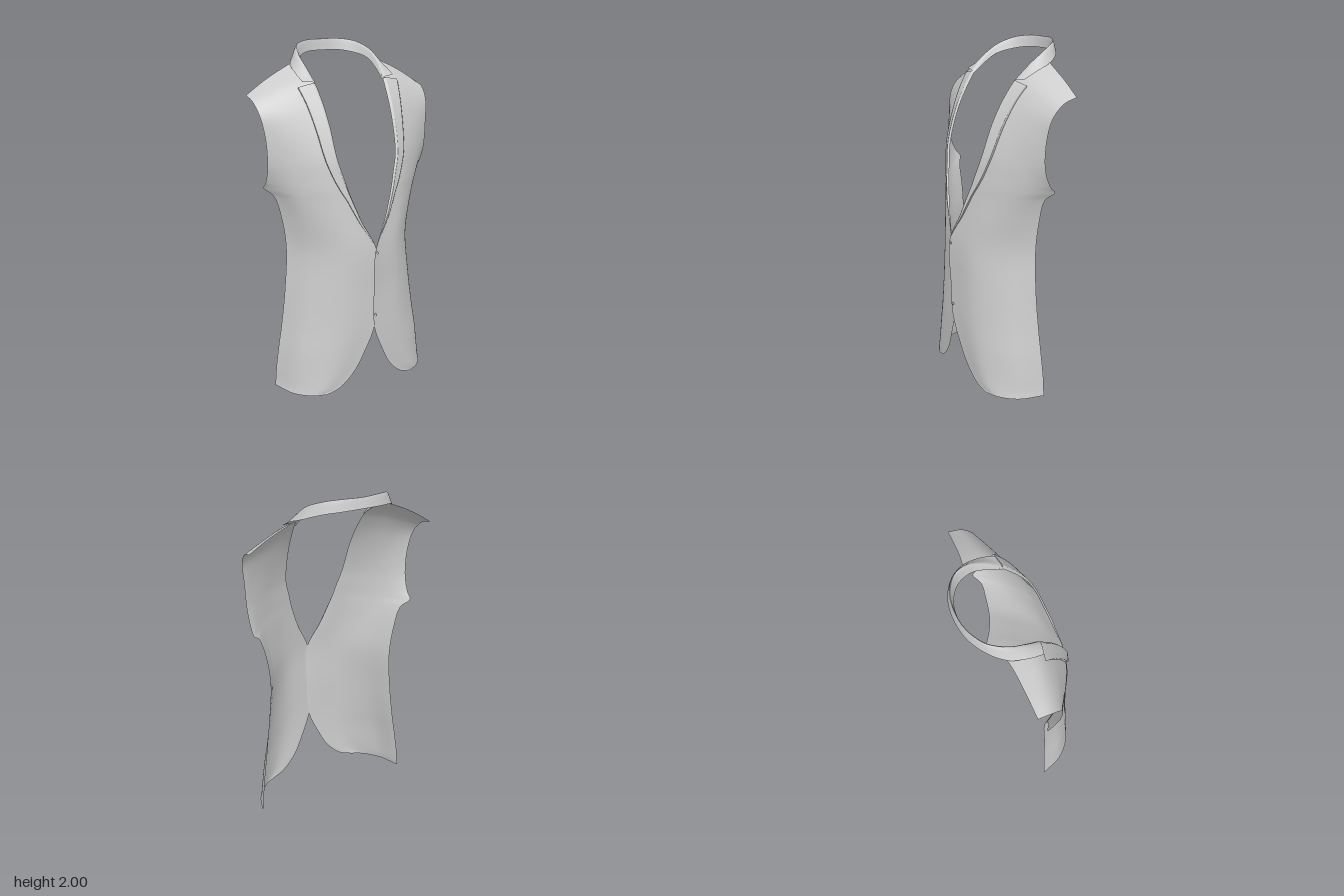
import * as THREE from 'three';

const cloth = new THREE.MeshStandardMaterial({ color: 0xcccccc, side: THREE.DoubleSide });
const curve = (pts) => new THREE.CatmullRomCurve3(pts.map((p) => new THREE.Vector3(...p)));

// Smooth surface through a set of lengthwise curves: u runs across them, v along them
const loft = (curves) => (u, v) =>
  new THREE.CatmullRomCurve3(curves.map((c) => c.getPoint(v))).getPoint(u);

// Grid mesh of a surface function; side = -1 mirrors it in x
function sheet(name, surface, nu, nv, side = 1) {
  const pos = [], index = [];
  for (let j = 0; j <= nv; j++) {
    for (let i = 0; i <= nu; i++) {
      const p = surface(i / nu, j / nv);
      pos.push(p.x * side, p.y, p.z);
      if (i === nu || j === nv) continue;
      const a = j * (nu + 1) + i, b = a + 1, c = a + nu + 1, d = c + 1;
      if (side > 0) index.push(a, b, d, a, d, c);
      else index.push(a, d, b, a, c, d);
    }
  }
  const geo = new THREE.BufferGeometry();
  geo.setAttribute('position', new THREE.Float32BufferAttribute(pos, 3));
  geo.setIndex(index);
  geo.computeVertexNormals();
  const mesh = new THREE.Mesh(geo, cloth);
  mesh.name = name;
  return mesh;
}

// Lengthwise lines of one front panel, each from hem (row 0) to shoulder seam (row 15)
const ROWS = 15;
const frontEdge = curve([
  [0.29, 0.008, 0.258], [0.215, 0.035, 0.27], [0.125, 0.12, 0.283], [0.055, 0.25, 0.296],
  [-0.003, 0.4, 0.306], [-0.013, 0.62, 0.311], [-0.008, 0.87, 0.317], [0.075, 1.05, 0.283],
  [0.12, 1.17, 0.26], [0.14, 1.23, 0.247], [0.156, 1.29, 0.235], [0.186, 1.4, 0.21],
  [0.2, 1.58, 0.15], [0.21, 1.72, 0.075], [0.222, 1.82, -0.005], [0.255, 1.895, -0.17],
]);
const chestLine = curve([
  [0.365, 0.003, 0.222], [0.325, 0.035, 0.243], [0.28, 0.12, 0.257], [0.24, 0.25, 0.266],
  [0.205, 0.4, 0.271], [0.19, 0.62, 0.266], [0.18, 0.87, 0.26], [0.22, 1.05, 0.232],
  [0.25, 1.17, 0.21], [0.268, 1.23, 0.199], [0.28, 1.29, 0.188], [0.3, 1.4, 0.165],
  [0.315, 1.57, 0.113], [0.325, 1.7, 0.055], [0.335, 1.795, -0.02], [0.34, 1.86, -0.155],
]);
const flankLine = curve([
  [0.448, 0, 0.132], [0.436, 0.035, 0.138], [0.42, 0.12, 0.145], [0.397, 0.25, 0.152],
  [0.37, 0.4, 0.15], [0.336, 0.62, 0.15], [0.315, 0.87, 0.142], [0.345, 1.05, 0.13],
  [0.38, 1.17, 0.115], [0.398, 1.22, 0.107], [0.408, 1.275, 0.104], [0.42, 1.38, 0.098],
  [0.435, 1.54, 0.072], [0.447, 1.665, 0.028], [0.452, 1.752, -0.04], [0.45, 1.805, -0.145],
]);
const sideEdge = curve([
  [0.5, 0.005, -0.01], [0.495, 0.04, -0.01], [0.488, 0.12, -0.01], [0.472, 0.25, -0.005],
  [0.45, 0.4, 0], [0.425, 0.62, 0.005], [0.408, 0.87, 0], [0.43, 1.05, -0.005],
  [0.47, 1.18, -0.012], [0.517, 1.228, -0.042], [0.518, 1.265, -0.012], [0.52, 1.36, 0.024],
  [0.528, 1.52, 0.026], [0.545, 1.64, 0], [0.557, 1.71, -0.06], [0.56, 1.737, -0.137],
]);
const panel = loft([frontEdge, chestLine, flankLine, sideEdge]);

// Point raised off the panel along its normal
function raised(u, v, h) {
  const e = 0.004, p = panel(u, v);
  const du = panel(u + e, v).sub(p), dv = panel(u, v + e).sub(p);
  return p.addScaledVector(du.cross(dv).normalize(), h);
}

// Lapel: widens from the top button to the notch, with a thin outer rim
function lapel(u, t) {
  const v = (6 + 7.7 * t) / ROWS;
  const across = Math.min(u / 0.9, 1);
  const h = 0.013 * Math.min(1, u / 0.1, (1 - u) / 0.1) * Math.min(1, t * 6);
  return raised(across * 0.29 * t, v, h);
}

// Collar lines run around the neck from the left notch to the right notch
const around = (half) =>
  curve([...half, ...half.slice(0, -1).reverse().map(([x, y, z]) => [-x, y, z])]);
const collar = loft([
  around([[0.214, 1.79, 0.025], [0.22, 1.85, -0.06], [0.215, 1.895, -0.14],
    [0.175, 1.92, -0.225], [0.09, 1.935, -0.285], [0, 1.935, -0.3]]),
  around([[0.228, 1.802, 0.03], [0.24, 1.885, -0.06], [0.236, 1.945, -0.15],
    [0.19, 1.985, -0.24], [0.1, 2.0, -0.295], [0, 2.0, -0.31]]),
  around([[0.295, 1.808, 0.018], [0.297, 1.85, -0.07], [0.275, 1.885, -0.168],
    [0.212, 1.92, -0.25], [0.112, 1.938, -0.308], [0, 1.943, -0.325]]),
]);

export function createModel() {
  const group = new THREE.Group();
  group.name = 'waistcoatFront';

  // Front panels and lapels; the left side laps over the right
  for (const [label, side] of [['left', 1], ['right', -1]]) {
    const half = new THREE.Group();
    half.name = label + 'Front';
    half.add(sheet(label + 'Panel', panel, 30, 120, side));
    half.add(sheet(label + 'Lapel', lapel, 20, 60, side));
    half.position.z = side * 0.004;
    group.add(half);
  }

  group.add(sheet('collar', collar, 16, 80));

  // Two small buttons on the front closure
  for (const [y, z] of [[0.86, 0.321], [0.475, 0.313]]) {
    const button = new THREE.Mesh(new THREE.CylinderGeometry(0.009, 0.009, 0.006, 16), cloth);
    button.name = 'button';
    button.rotation.x = Math.PI / 2;
    button.position.set(0.002, y, z);
    group.add(button);
  }
  return group;
}
